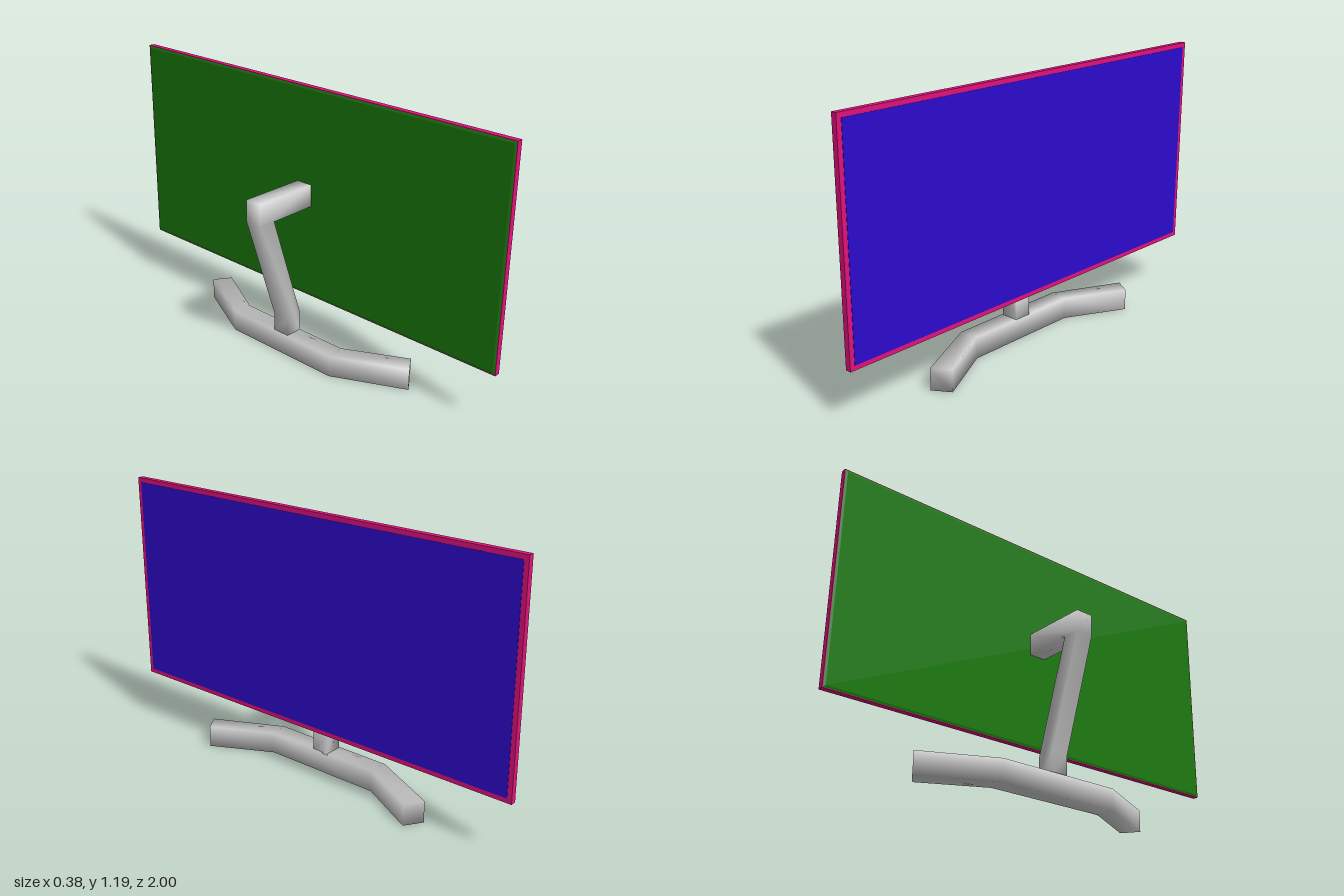
import * as THREE from 'three';
import { mergeVertices } from 'three/addons/utils/BufferGeometryUtils.js';

const material = (color) => new THREE.MeshStandardMaterial({ color });
const grey = material(0xcccccc);

function add(group, name, geometry, mat) {
  const mesh = new THREE.Mesh(geometry, mat);
  mesh.name = name;
  group.add(mesh);
  return mesh;
}

// Extruded outline with shared corners, so its shading is soft
function softExtrude(outline, depth) {
  const shape = new THREE.Shape(outline.map(([x, y]) => new THREE.Vector2(x, y)));
  let geometry = new THREE.ExtrudeGeometry(shape, { depth, bevelEnabled: false });
  geometry.deleteAttribute('uv');
  geometry.deleteAttribute('normal');
  geometry = mergeVertices(geometry, 1e-4);
  geometry.computeVertexNormals();
  return geometry;
}

// Thin rectangular panel that tapers towards its face; dir is the side it faces
function taperedPanel(depth, height, width, taper, dir) {
  const geometry = new THREE.BoxGeometry(depth, height, width);
  const p = geometry.attributes.position;
  for (let i = 0; i < p.count; i++) {
    if (p.getX(i) * dir > 0) {
      p.setY(i, p.getY(i) - Math.sign(p.getY(i)) * taper);
      p.setZ(i, p.getZ(i) - Math.sign(p.getZ(i)) * taper);
    }
  }
  geometry.computeVertexNormals();
  return geometry;
}

export function createModel() {
  const model = new THREE.Group();
  model.name = 'monitor';

  // Display: frame, screen facing +x, rear panel facing -x
  const display = new THREE.Group();
  display.name = 'display';
  display.position.set(0.125, 0.715, 0);
  model.add(display);
  add(display, 'frame', new THREE.BoxGeometry(0.026, 0.95, 2), material(0xe0127c));
  add(display, 'screen', new THREE.BoxGeometry(0.004, 0.91, 1.96), material(0x2d0acc))
    .position.x = 0.0125;
  add(display, 'backPanel', taperedPanel(0.004, 0.95, 2, 0.012, -1), material(0x187a0a))
    .position.x = -0.014;

  // Bent arm: short post, leaning column and horizontal bar
  const arm = softExtrude([
    [-0.035, 0.09], [0.045, 0.09], [0.045, 0.18], [-0.115, 0.668],
    [0.112, 0.668], [0.112, 0.766], [-0.195, 0.766], [-0.195, 0.668], [-0.035, 0.18],
  ], 0.08);
  arm.translate(0, 0, -0.04);
  add(model, 'arm', arm, grey);

  // Foot: straight middle with both ends angled forward under the screen
  const half = [[0.045, 0.28], [0.185, 0.55], [0.11, 0.6], [-0.04, 0.29]];
  const mirrored = half.map(([x, z]) => [x, -z]).reverse();
  const foot = softExtrude([...half, ...mirrored], 0.097);
  foot.rotateX(-Math.PI / 2);
  add(model, 'foot', foot, grey);

  return model;
}
